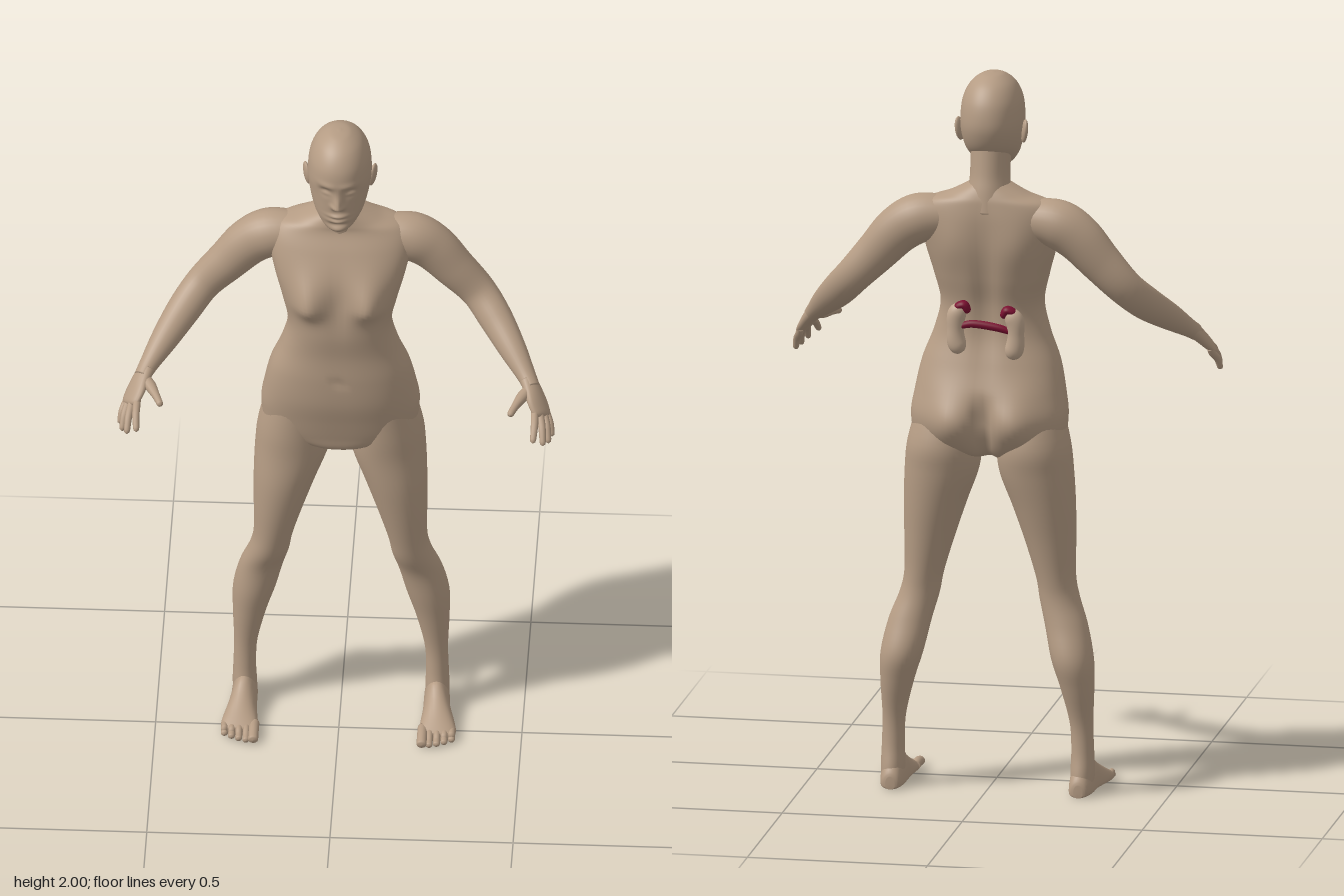
import * as THREE from 'three';

const skin = new THREE.MeshStandardMaterial({ color: 0xb59c84 });
skin.name = 'skin';
const organ = new THREE.MeshStandardMaterial({ color: 0xc0a78f });
organ.name = 'pale organ';
const vessel = new THREE.MeshStandardMaterial({ color: 0x7a1030 });
vessel.name = 'dark red vessel';

const bump = (d, w) => Math.exp(-(d * d) / (w * w));
const smooth = THREE.MathUtils.smoothstep;

// Catmull-Rom interpolation of table rows, t from 0 to 1
function sample(rows, t) {
  const n = rows.length - 1, f = Math.min(Math.max(t, 0), 1) * n;
  const i = Math.min(Math.floor(f), n - 1), u = f - i;
  const at = k => rows[Math.min(Math.max(k, 0), n)];
  return rows[0].map((_, c) => {
    const a = at(i - 1)[c], b = at(i)[c], d = at(i + 1)[c], e = at(i + 2)[c];
    return b + 0.5 * u * (d - a + u * (2 * a - 5 * b + 4 * d - e + u * (3 * (b - d) + e - a)));
  });
}

// Closed skin through rings; ring(t, angle) returns a point. Faces always point outward.
function loft(name, ring, steps, sides, material = skin, side = 1) {
  const pos = [], idx = [];
  for (let i = 0; i <= steps; i++) {
    for (let j = 0; j < sides; j++) {
      const p = ring(i / steps, (j / sides) * Math.PI * 2);
      pos.push(p[0] * side, p[1], p[2]);
    }
  }
  for (let i = 0; i < steps; i++) {
    for (let j = 0; j < sides; j++) {
      const a = i * sides + j, b = i * sides + (j + 1) % sides;
      idx.push(a, b, a + sides, b, b + sides, a + sides);
    }
  }
  for (const row of [0, steps]) {
    const c = [0, 0, 0], start = row * sides, centre = pos.length / 3;
    for (let j = 0; j < sides; j++) for (let k = 0; k < 3; k++) c[k] += pos[(start + j) * 3 + k] / sides;
    pos.push(...c);
    for (let j = 0; j < sides; j++) {
      const a = start + j, b = start + (j + 1) % sides;
      if (row) idx.push(a, b, centre); else idx.push(b, a, centre);
    }
  }
  const v = k => new THREE.Vector3(pos[k * 3], pos[k * 3 + 1], pos[k * 3 + 2]);
  let volume = 0;
  for (let k = 0; k < idx.length; k += 3) volume += v(idx[k]).dot(v(idx[k + 1]).cross(v(idx[k + 2])));
  if (volume < 0) idx.reverse();
  const g = new THREE.BufferGeometry();
  g.setAttribute('position', new THREE.Float32BufferAttribute(pos, 3));
  g.setIndex(idx);
  g.computeVertexNormals();
  const mesh = new THREE.Mesh(g, material);
  mesh.name = name;
  return mesh;
}

// Horizontal sections: rows of y, centre x, half width, front z, back z
function stack(name, rows, { steps = 48, sides = 40, power = 2.2, shape, side = 1 } = {}) {
  const e = 2 / power, pw = q => Math.sign(q) * Math.abs(q) ** e;
  return loft(name, (t, a) => {
    const [y, cx, w, zf, zb] = sample(rows, t);
    const p = [cx + w * pw(Math.cos(a)), y, (zf + zb) / 2 + (zf - zb) / 2 * pw(Math.sin(a))];
    return shape ? shape(p, Math.sin(a)) : p;
  }, steps, sides, skin, side);
}

// Round limb along a path: rows of x, y, z, radius along ref, radius across; rounded ends by fraction
function limb(name, rows, { ref = [0, 0, 1], steps = 24, sides = 20, start = 0, tip = 0, material, side } = {}) {
  return loft(name, (t, a) => {
    const [x, y, z, ra, rb] = sample(rows, t);
    const p = sample(rows, t - 0.01), q = sample(rows, t + 0.01);
    const dir = new THREE.Vector3(q[0] - p[0], q[1] - p[1], q[2] - p[2]).normalize();
    const u = new THREE.Vector3(...ref).addScaledVector(dir, -dir.dot(new THREE.Vector3(...ref))).normalize();
    const w = dir.clone().cross(u);
    let k = 1;
    if (tip && t > 1 - tip) k = Math.sqrt(Math.max(0.01, 1 - ((t - 1 + tip) / tip) ** 2));
    if (start && t < start) k = Math.sqrt(Math.max(0.01, 1 - ((start - t) / start) ** 2));
    u.multiplyScalar(ra * k * Math.cos(a)).addScaledVector(w, rb * k * Math.sin(a));
    return [x + u.x, y + u.y, z + u.z];
  }, steps, sides, material, side);
}

// Bust, seat, spine and shoulder blades
function shapeTorso([x, y, z], s) {
  const ax = Math.abs(x);
  if (s > 0) {
    z += 0.034 * bump(ax - 0.085, 0.042) * bump(y - 1.455, y < 1.455 ? 0.038 : 0.07);
    z -= 0.008 * bump(x, 0.025) * bump(y - 1.47, 0.08);
    z -= 0.006 * bump(x, 0.012) * bump(y - 1.2, 0.014);
  } else {
    z -= 0.03 * bump(ax - 0.09, 0.06) * bump(y - 1.04, 0.08);
    z += 0.04 * bump(x, 0.022) * (1 - smooth(y, 1.04, 1.14));
    z += 0.014 * bump(x, 0.03) * bump(y - 1.4, 0.2);
    z -= 0.008 * bump(ax - 0.09, 0.045) * bump(y - 1.54, 0.07);
  }
  return [x, y, z];
}

// Brow, eye sockets, lids, nose, lips and chin
function shapeHead([x, y, z], s) {
  if (s > 0) {
    const ax = Math.abs(x);
    z -= 0.012 * bump(ax - 0.034, 0.017) * bump(y - 1.864, 0.014);
    z += 0.006 * bump(ax - 0.034, 0.012) * bump(y - 1.859, 0.007);
    z += 0.004 * bump(ax - 0.03, 0.025) * bump(y - 1.887, 0.009);
    z += 0.022 * bump(x, 0.011) * bump(y - 1.822, y > 1.822 ? 0.03 : 0.009);
    z += 0.008 * bump(ax - 0.012, 0.008) * bump(y - 1.818, 0.009);
    z += 0.008 * bump(x, 0.024) * (bump(y - 1.787, 0.006) + bump(y - 1.771, 0.007));
    z -= 0.005 * bump(x, 0.03) * bump(y - 1.757, 0.008);
    z += 0.004 * bump(x, 0.02) * bump(y - 1.74, 0.01);
  }
  return [x, y, z];
}

export function createModel() {
  const body = new THREE.Group();
  body.name = 'figure';

  body.add(stack('torso', [
    [1.705, 0, 0.05, -0.05, -0.16], [1.675, 0, 0.11, -0.045, -0.175], [1.65, 0, 0.175, -0.04, -0.182],
    [1.6, 0, 0.195, -0.012, -0.188], [1.52, 0, 0.18, 0.025, -0.188], [1.44, 0, 0.158, 0.038, -0.178],
    [1.36, 0, 0.142, 0.042, -0.162], [1.28, 0, 0.16, 0.036, -0.162], [1.2, 0, 0.19, 0.038, -0.185],
    [1.12, 0, 0.207, 0.035, -0.212], [1.05, 0, 0.216, 0.022, -0.225], [0.99, 0, 0.2, 0.01, -0.21],
    [0.95, 0, 0.12, 0, -0.18], [0.93, 0, 0.04, -0.03, -0.13],
  ], { steps: 90, sides: 80, power: 2.4, shape: shapeTorso }));

  body.add(limb('neck', [
    [0, 1.62, -0.115, 0.07, 0.07], [0, 1.67, -0.108, 0.068, 0.062],
    [0, 1.72, -0.098, 0.066, 0.055], [0, 1.8, -0.085, 0.066, 0.056],
  ]));

  body.add(stack('head', [
    [2, 0, 0.004, -0.05, -0.06], [1.994, 0, 0.032, -0.012, -0.098], [1.97, 0, 0.062, 0.027, -0.138],
    [1.93, 0, 0.081, 0.053, -0.166], [1.88, 0, 0.087, 0.061, -0.177], [1.84, 0, 0.085, 0.056, -0.172],
    [1.8, 0, 0.077, 0.056, -0.152], [1.77, 0, 0.066, 0.056, -0.115], [1.742, 0, 0.046, 0.055, -0.065],
    [1.727, 0, 0.024, 0.045, -0.01],
  ], { steps: 110, sides: 96, power: 2.1, shape: shapeHead }));

  for (const side of [1, -1]) {
    const word = side > 0 ? 'left' : 'right';
    const add = (fn, name, rows, options) => body.add(fn(word + name, rows, { ...options, side }));

    const ear = new THREE.Mesh(new THREE.SphereGeometry(1, 16, 12), skin);
    ear.name = word + 'Ear';
    ear.scale.set(0.009, 0.034, 0.02);
    ear.position.set(side * 0.09, 1.84, -0.07);
    ear.rotation.set(-0.2, side * -0.35, side * -0.15);
    body.add(ear);

    add(limb, 'Arm', [
      [0.11, 1.605, -0.115, 0.055, 0.055], [0.19, 1.596, -0.12, 0.066, 0.068], [0.25, 1.56, -0.122, 0.06, 0.066],
      [0.31, 1.495, -0.118, 0.052, 0.058], [0.375, 1.425, -0.108, 0.045, 0.05], [0.425, 1.37, -0.06, 0.043, 0.047],
      [0.475, 1.318, 0.01, 0.036, 0.038], [0.515, 1.275, 0.07, 0.027, 0.026], [0.532, 1.255, 0.1, 0.026, 0.022],
    ], { steps: 48, sides: 28 });

    // Hand, with four fingers fanned from index to little finger
    add(limb, 'Palm', [
      [0.52, 1.27, 0.08, 0.026, 0.021], [0.535, 1.25, 0.105, 0.033, 0.019],
      [0.55, 1.226, 0.133, 0.04, 0.016], [0.566, 1.2, 0.16, 0.036, 0.012],
    ], { ref: [-0.5, 0.35, 0.75], tip: 0.15 });
    const fingers = [
      [[0.543, 1.22, 0.168], [0.541, 1.174, 0.245]], [[0.557, 1.21, 0.158], [0.568, 1.154, 0.229]],
      [[0.568, 1.2, 0.145], [0.582, 1.142, 0.2]], [[0.574, 1.19, 0.128], [0.59, 1.138, 0.162]],
    ];
    fingers.forEach(([a, b], i) => {
      const mid = a.map((v, k) => (v + b[k]) / 2 + (k === 1 ? 0.006 : 0.002));
      const back = a.map((v, k) => v + (a[k] - b[k]) * 0.3);
      add(limb, 'Finger' + (i + 1), [[...back, 0.009, 0.009], [...a, 0.0105, 0.0105], [...mid, 0.01, 0.01], [...b, 0.008, 0.008]],
        { ref: [1, 0, 0], sides: 12, tip: 0.1, steps: 20 });
    });
    add(limb, 'Thumb', [
      [0.53, 1.258, 0.1, 0.014, 0.014], [0.508, 1.25, 0.135, 0.016, 0.015],
      [0.49, 1.246, 0.175, 0.011, 0.011], [0.476, 1.24, 0.21, 0.009, 0.009],
    ], { ref: [1, 0, 0], sides: 14, tip: 0.1 });

    add(stack, 'Leg', [
      [1.09, 0.115, 0.08, 0.005, -0.19], [0.98, 0.124, 0.1, 0.004, -0.222], [0.9, 0.131, 0.102, 0, -0.215],
      [0.8, 0.151, 0.086, -0.001, -0.198], [0.7, 0.168, 0.069, -0.011, -0.18], [0.6, 0.183, 0.054, -0.027, -0.166],
      [0.54, 0.195, 0.055, -0.04, -0.165], [0.47, 0.217, 0.059, -0.064, -0.18], [0.38, 0.237, 0.058, -0.073, -0.205],
      [0.3, 0.25, 0.046, -0.084, -0.191], [0.2, 0.26, 0.032, -0.094, -0.166], [0.12, 0.263, 0.031, -0.09, -0.166],
      [0.06, 0.263, 0.033, -0.08, -0.178], [0.02, 0.263, 0.03, -0.09, -0.182],
    ], { steps: 64, power: 2.05 });

    // Foot sections along z: centre x, half width, top height, with a flat sole
    const foot = [
      [-0.189, 0.261, 0.012, 0.035], [-0.18, 0.261, 0.026, 0.055], [-0.14, 0.262, 0.034, 0.095], [-0.085, 0.263, 0.036, 0.1],
      [-0.05, 0.266, 0.04, 0.078], [-0.01, 0.269, 0.047, 0.056], [0.025, 0.27, 0.051, 0.038], [0.05, 0.268, 0.045, 0.024],
    ];
    body.add(loft(word + 'Foot', (t, a) => {
      const [z, cx, w, h] = sample(foot, t), s = Math.sin(a);
      return [cx + w * Math.cos(a), s > 0 ? 0.016 + (h - 0.016) * s : 0.016 + 0.016 * -(Math.abs(s) ** 0.5), z];
    }, 30, 28, skin, side));
    for (let i = 0; i < 5; i++) {
      const x = 0.23 + i * 0.02, r = i ? 0.0095 : 0.014, z = 0.092 - i * i * 0.0016 - i * 0.001;
      add(limb, 'Toe' + (i + 1), [
        [x, 0.018, 0.015, r, r], [x, 0.02, 0.045, r, r], [x, r + 0.003, z - 0.02, r, r], [x, r + 0.001, z, r, r * 0.9],
      ], { ref: [1, 0, 0], sides: 12, tip: 0.14 });
    }

    // Bean-shaped kidney with a dark red cap on its upper end
    const y = side > 0 ? 1.3 : 1.29;
    add(limb, 'Kidney', [
      [0.06, y + 0.065, -0.162, 0.02, 0.022], [0.08, y + 0.04, -0.163, 0.022, 0.026],
      [0.084, y, -0.163, 0.021, 0.023], [0.08, y - 0.04, -0.163, 0.022, 0.026], [0.064, y - 0.066, -0.162, 0.02, 0.022],
    ], { start: 0.22, tip: 0.22, steps: 32, material: organ });
    add(limb, 'KidneyCap', [
      [0.048, y + 0.045, -0.165, 0.012, 0.01], [0.06, y + 0.068, -0.165, 0.018, 0.012], [0.086, y + 0.058, -0.165, 0.014, 0.01],
    ], { start: 0.25, tip: 0.25, material: vessel });
  }

  // Vessel joining the two kidneys
  body.add(limb('kidneyVessel', [
    [-0.075, 1.295, -0.165, 0.008, 0.008], [-0.035, 1.308, -0.168, 0.01, 0.011],
    [0.035, 1.316, -0.168, 0.01, 0.011], [0.075, 1.305, -0.165, 0.008, 0.008],
  ], { sides: 12, material: vessel }));

  return body;
}
